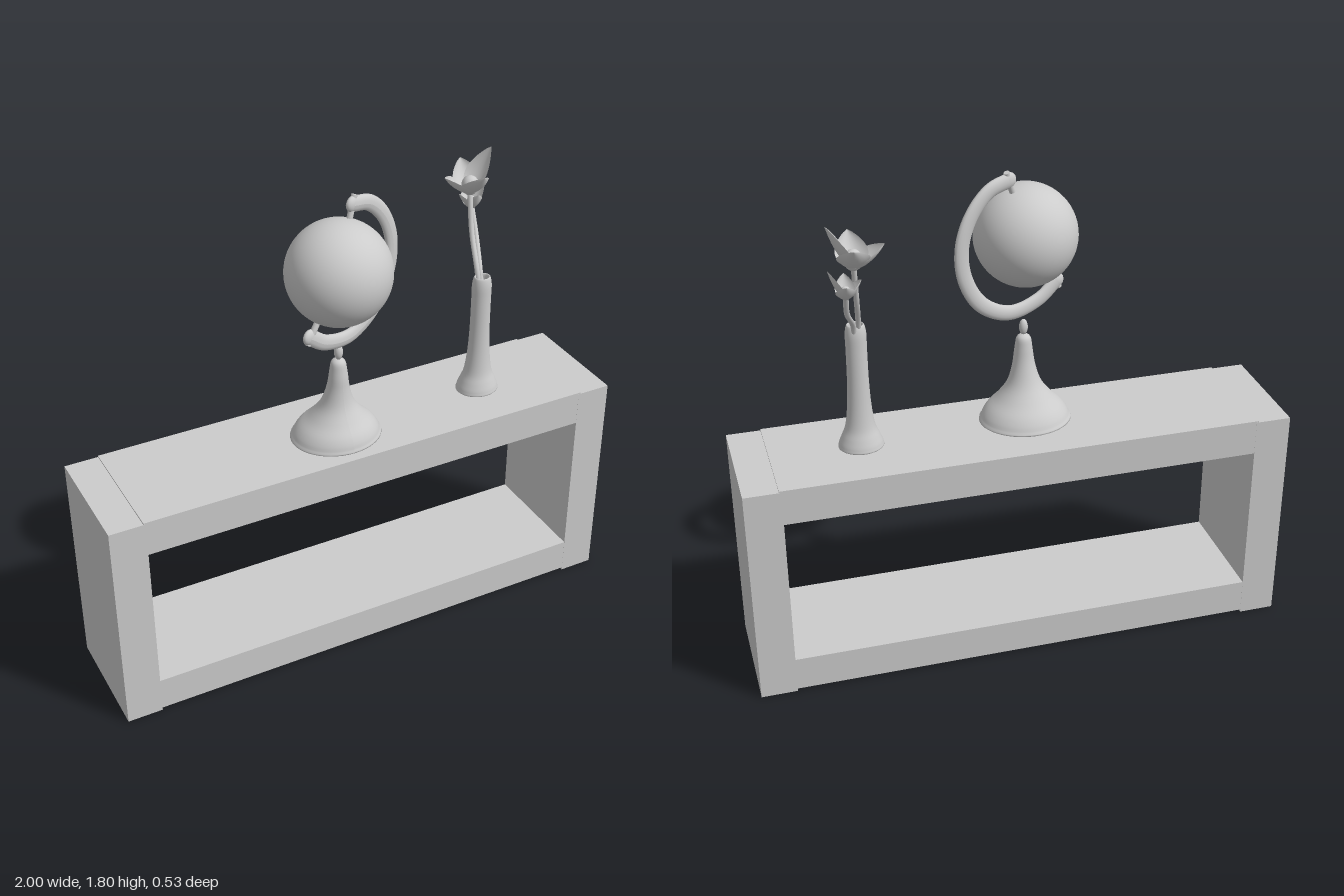
import * as THREE from 'three';
import { ParametricGeometry } from 'three/addons/geometries/ParametricGeometry.js';

const V = (x, y, z) => new THREE.Vector3(x, y, z);
const grey = new THREE.MeshStandardMaterial({ color: 0xcccccc });
const thin = new THREE.MeshStandardMaterial({ color: 0xcccccc, side: THREE.DoubleSide });

function add(parent, name, geometry, pos = [0, 0, 0], material = grey) {
  const mesh = new THREE.Mesh(geometry, material);
  mesh.name = name;
  mesh.position.set(...pos);
  parent.add(mesh);
  return mesh;
}

// Smooth lathe through a few [radius, height] points
function turned(points, segments = 40) {
  const curve = new THREE.SplineCurve(points.map(p => new THREE.Vector2(...p)));
  const profile = curve.getPoints(points.length * 4);
  profile.forEach(p => { p.x = Math.max(p.x, 0); });
  return new THREE.LatheGeometry(profile, segments);
}

// Pin between two points
function pin(parent, name, a, b, radius) {
  const mesh = add(parent, name, new THREE.CylinderGeometry(radius, radius, a.distanceTo(b), 14));
  mesh.position.copy(a).lerp(b, 0.5);
  mesh.quaternion.setFromUnitVectors(V(0, 1, 0), b.clone().sub(a).normalize());
}

// Pointed, cupped petal that rises from base and bends out to tip
function petal(base, tip, width) {
  const ctrl = V(base.x + (tip.x - base.x) * 0.65, base.y + (tip.y - base.y) * 0.3, base.z + (tip.z - base.z) * 0.65);
  const spine = new THREE.QuadraticBezierCurve3(base, ctrl, tip);
  const out = V(tip.x - base.x, 0, tip.z - base.z).normalize();
  const side = V(0, 1, 0).cross(out);
  return new ParametricGeometry((u, v, target) => {
    const w = width * Math.pow(Math.sin(Math.PI * Math.pow(u, 0.85)), 0.8) || 0;
    const s = v * 2 - 1;
    target.copy(spine.getPoint(u))
      .addScaledVector(side, w * s)
      .addScaledVector(out, -w * 0.45 * s * s);
    target.y += w * 0.3 * s * s;
  }, 14, 8);
}

function createTable() {
  const table = new THREE.Group();
  table.name = 'table';
  const depth = 0.445, z = -0.0225;
  for (const s of [-1, 1]) {
    add(table, s > 0 ? 'leftPanel' : 'rightPanel', new THREE.BoxGeometry(0.132, 0.846, depth), [s * 0.934, 0.423, z]);
  }
  add(table, 'topBoard', new THREE.BoxGeometry(1.752, 0.135, depth - 0.001), [0, 0.784, z]);
  add(table, 'bottomBoard', new THREE.BoxGeometry(1.74, 0.13, depth - 0.001), [0, 0.075, z]);
  return table;
}

function createGlobe() {
  const globe = new THREE.Group();
  globe.name = 'globe';
  const centre = V(-0.083, 1.543, 0.082);

  // Flared foot, slightly oval, its neck set forward of its middle
  const foot = turned([[0, 0], [0.155, 0], [0.161, 0.02], [0.14, 0.055], [0.1, 0.095], [0.063, 0.145],
    [0.042, 0.21], [0.032, 0.28], [0.024, 0.32], [0, 0.333]], 48);
  const p = foot.attributes.position;
  for (let i = 0; i < p.count; i++) {
    const t = Math.min(p.getY(i) / 0.25, 1);
    p.setZ(i, p.getZ(i) * (0.88 + 0.12 * t) + 0.023 * t);
  }
  foot.computeVertexNormals();
  add(globe, 'foot', foot, [-0.065, 0.851, 0.017]);
  add(globe, 'knob', new THREE.SphereGeometry(1, 20, 14), [-0.065, 1.208, 0.042]).scale.set(0.016, 0.03, 0.016);
  add(globe, 'ball', new THREE.SphereGeometry(0.185, 56, 36), centre.toArray());

  // Curved arm: a flattened tube leaning back as it goes right to left
  const path = [[-0.012, 1.762], [0.064, 1.74], [0.134, 1.666], [0.171, 1.559], [0.16, 1.441],
    [0.096, 1.329], [-0.016, 1.268], [-0.134, 1.288], [-0.209, 1.342]].map(([x, y]) => V(x, y, 0));
  const lean = x => 0.04 - 0.34 * x;
  const shear = geometry => {
    const q = geometry.attributes.position;
    for (let i = 0; i < q.count; i++) q.setZ(i, q.getZ(i) * 0.62 + lean(q.getX(i)));
    geometry.computeVertexNormals();
    return geometry;
  };
  add(globe, 'arm', shear(new THREE.TubeGeometry(new THREE.CatmullRomCurve3(path), 72, 0.028, 16)));
  for (const end of [path[0], path[8]]) {
    const name = end === path[0] ? 'top' : 'bottom';
    add(globe, name + 'ArmEnd', shear(new THREE.SphereGeometry(0.028, 18, 12).translate(end.x, end.y, 0)));
    const hold = V(end.x * 0.97, end.y, lean(end.x));
    const dir = hold.clone().sub(centre).normalize();
    pin(globe, name + 'Pin', centre.clone().addScaledVector(dir, 0.17), hold.clone().addScaledVector(dir, 0.032), 0.011);
  }
  return globe;
}

function createVase() {
  const group = new THREE.Group();
  group.name = 'flowerVase';
  const vase = add(group, 'vase', turned([[0, 0], [0.074, 0], [0.079, 0.015], [0.068, 0.045], [0.053, 0.085],
    [0.043, 0.16], [0.038, 0.26], [0.037, 0.38], [0.037, 0.44], [0.031, 0.472], [0.024, 0.468], [0.022, 0.42],
    [0, 0.41]]), [0.548, 0.851, -0.014], thin);
  vase.scale.z = 0.9;

  const flowers = [
    { name: 'largeFlower', width: 0.055, heart: 0.032,
      stem: [V(0.54, 1.27, -0.02), V(0.541, 1.34, -0.04), V(0.555, 1.46, -0.11), V(0.567, 1.6, -0.155)],
      tips: [V(0.655, 1.75, -0.165), V(0.462, 1.67, -0.16), V(0.565, 1.69, -0.056), V(0.58, 1.69, -0.252)] },
    { name: 'smallFlower', width: 0.033, heart: 0.02,
      stem: [V(0.555, 1.27, -0.025), V(0.56, 1.335, -0.05), V(0.595, 1.43, -0.145), V(0.605, 1.515, -0.198)],
      tips: [V(0.662, 1.617, -0.207), V(0.55, 1.572, -0.2), V(0.6, 1.578, -0.148), V(0.612, 1.575, -0.262)] },
  ];
  for (const f of flowers) {
    const flower = new THREE.Group();
    flower.name = f.name;
    group.add(flower);
    const base = f.stem[3];
    add(flower, 'stem', new THREE.TubeGeometry(new THREE.CatmullRomCurve3(f.stem), 28, 0.0095, 10));
    const heart = add(flower, 'flowerHeart', new THREE.SphereGeometry(f.heart, 16, 12), [base.x, base.y + f.heart * 0.7, base.z]);
    heart.scale.y = 1.15;
    const start = base.clone().add(V(0, -0.012, 0));
    f.tips.forEach(tip => add(flower, 'petal', petal(start, tip, f.width), [0, 0, 0], thin));
  }
  return group;
}

export function createModel() {
  const model = new THREE.Group();
  model.name = 'consoleTable';
  model.add(createTable(), createGlobe(), createVase());
  return model;
}
